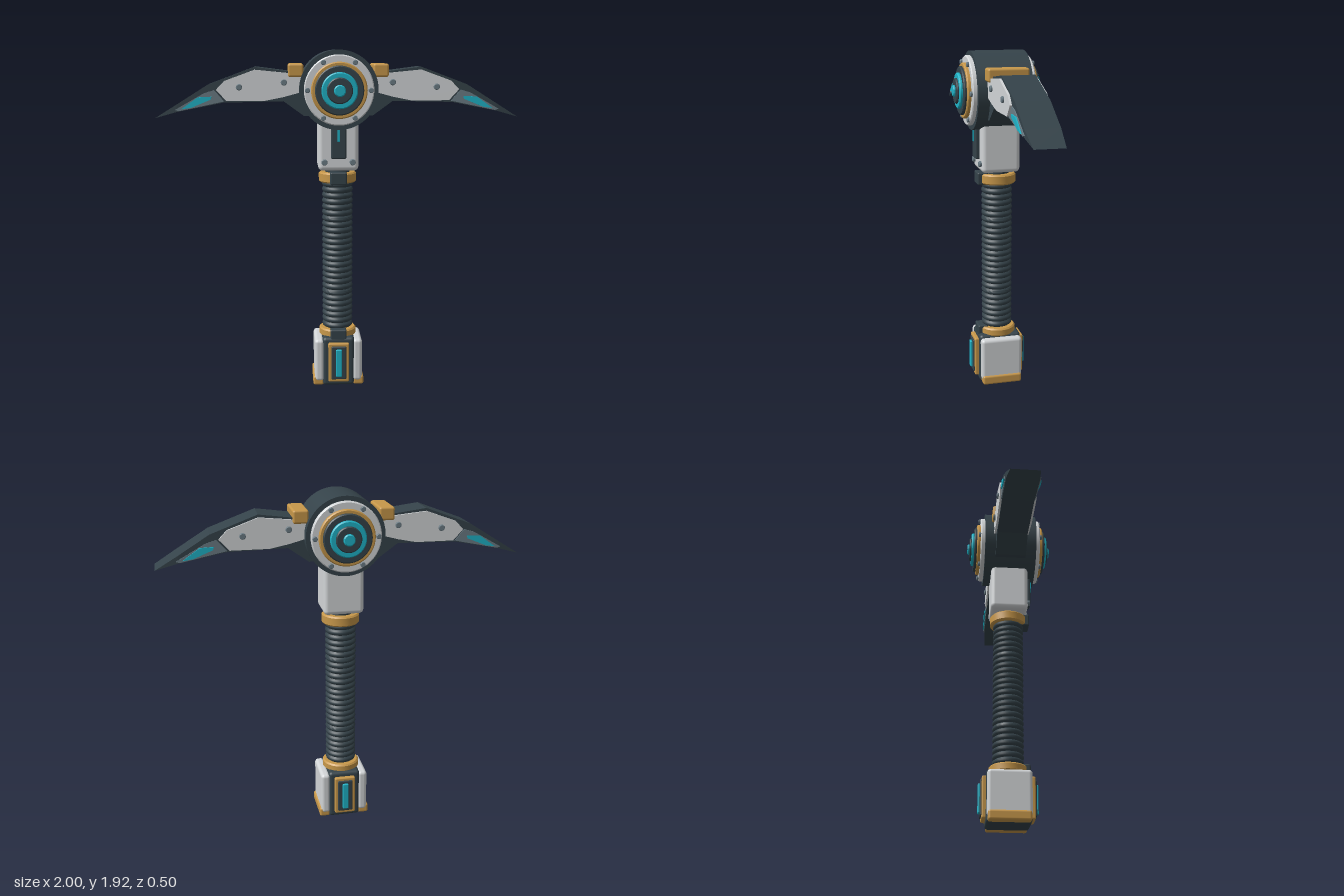
import * as THREE from 'three';
import { RoundedBoxGeometry } from 'three/addons/geometries/RoundedBoxGeometry.js';
import { toCreasedNormals } from 'three/addons/utils/BufferGeometryUtils.js';

const paint = (name, color) => {
  const m = new THREE.MeshStandardMaterial({ color });
  m.name = name;
  return m;
};

export function createModel() {
  const dark = paint('dark slate', 0x35434a);
  const white = paint('pale grey', 0xd3d6d8);
  const gold = paint('brass', 0xc8984a);
  const cyan = paint('cyan glow', 0x1fb4c8);
  const steel = paint('steel', 0x6b7c85);
  const model = new THREE.Group();
  model.name = 'pickaxe';

  const add = (name, geo, mat, x = 0, y = 0, z = 0) => {
    const m = new THREE.Mesh(geo, mat);
    m.name = name;
    m.position.set(x, y, z);
    model.add(m);
    return m;
  };
  // box from its limits, rounded by r
  const box = (name, mat, x0, x1, y0, y1, z0, z1, r = 0.01) =>
    add(name, new RoundedBoxGeometry(x1 - x0, y1 - y0, z1 - z0, 3, r), mat,
      (x0 + x1) / 2, (y0 + y1) / 2, (z0 + z1) / 2);
  // disc facing front or back, between two depths
  const disc = (name, mat, r, x, y, z0, z1, seg = 48) => {
    const h = Math.abs(z1 - z0);
    const c = Math.min(0.006, r * 0.2, h * 0.4);
    const pts = [[0, -h / 2], [r, -h / 2], [r, h / 2 - c], [r - c, h / 2], [0, h / 2]];
    const geo = toCreasedNormals(new THREE.LatheGeometry(pts.map(p => new THREE.Vector2(...p)), seg), 0.5);
    geo.rotateX(z1 > z0 ? Math.PI / 2 : -Math.PI / 2);
    return add(name, geo, mat, x, y, (z0 + z1) / 2);
  };
  // flat outline extruded between two depths, s mirrors it in x
  const slab = (name, mat, pts, s, z0, z1) => {
    const shape = new THREE.Shape(pts.map(([x, y]) => new THREE.Vector2(x * s, y)));
    const geo = new THREE.ExtrudeGeometry(shape, { depth: z1 - z0, bevelEnabled: false });
    geo.translate(0, 0, z0);
    return add(name, geo, mat);
  };
  const lathe = (name, mat, pts, crease = 0.6) =>
    add(name, toCreasedNormals(new THREE.LatheGeometry(pts.map(p => new THREE.Vector2(...p)), 40), crease), mat);

  // Hub drum with stacked discs on both faces
  const hubY = 1.707;
  const drum = new THREE.CylinderGeometry(0.215, 0.215, 0.3, 64);
  drum.rotateX(Math.PI / 2);
  add('hubDrum', drum, dark, 0, hubY, 0);
  const stack = [
    ['hubPlate', white, 0.19, 0.175], ['hubBrassRing', gold, 0.152, 0.195],
    ['hubInnerDisc', dark, 0.132, 0.21], ['hubGlowRing', cyan, 0.098, 0.225],
    ['hubCap', dark, 0.07, 0.236], ['hubGlowCore', cyan, 0.032, 0.248],
  ];
  for (const f of [1, -1]) {
    let z = 0.145;
    for (const [name, mat, r, top] of stack) {
      disc(name, mat, r, 0, hubY, f * z, f * top);
      z = top - 0.004;
    }
    for (let i = 0; i < 6; i++) {
      const a = i * Math.PI / 3;
      disc('hubBolt', steel, 0.014, 0.171 * Math.cos(a), hubY + 0.171 * Math.sin(a), f * 0.17, f * 0.187, 16);
    }
  }

  // Curved pick arms
  const arm = [[0.1, 1.8], [0.27, 1.806], [0.455, 1.83], [0.71, 1.735], [0.88, 1.629], [0.88, 1.589],
    [0.63, 1.638], [0.3, 1.645], [0.19, 1.565], [0.1, 1.565]];
  const tip = [[0.88, 1.629], [1, 1.555], [0.88, 1.589]];
  const armPlate = [[0.18, 1.795], [0.27, 1.797], [0.455, 1.815], [0.62, 1.755], [0.665, 1.708],
    [0.61, 1.648], [0.4, 1.648], [0.3, 1.668], [0.18, 1.7]];
  const tipPlate = [[0.675, 1.706], [0.73, 1.69], [0.89, 1.6], [0.87, 1.593], [0.622, 1.645]];
  const tipGlow = [[0.69, 1.671], [0.765, 1.668], [0.855, 1.604], [0.8, 1.612], [0.695, 1.655]];
  for (const s of [1, -1]) {
    slab('pickArm', dark, arm, s, -0.088, 0.088);
    // the point narrows in depth
    const point = slab('pickTip', dark, tip, s, -0.088, 0.088);
    const p = point.geometry.attributes.position;
    for (let i = 0; i < p.count; i++) if (Math.abs(p.getX(i)) > 0.95) p.setZ(i, p.getZ(i) * 0.88);
    point.geometry.computeVertexNormals();
    for (const f of [1, -1]) {
      const layer = (name, mat, pts, top) =>
        slab(name, mat, pts, s, Math.min(f * 0.08, f * top), Math.max(f * 0.08, f * top));
      layer('armPlate', white, armPlate, 0.1);
      layer('tipPlate', steel, tipPlate, 0.093);
      layer('tipGlow', cyan, tipGlow, 0.1);
      for (const [x, y] of [[0.54, 1.722], [0.297, 1.747]])
        disc('armRivet', steel, 0.017, s * x, y, f * 0.095, f * 0.111, 20);
    }
    const lo = s > 0 ? 0.19 : -0.275;
    box('armClamp', gold, lo, lo + 0.085, 1.775, 1.847, -0.112, 0.112, 0.012);
  }

  // Neck block under the hub
  box('neckBlock', white, -0.112, 0.112, 1.26, 1.6, -0.108, 0.108, 0.025);
  box('neckInset', dark, -0.042, 0.042, 1.33, 1.54, 0.09, 0.13, 0.008);
  box('neckGlow', cyan, -0.007, 0.007, 1.425, 1.53, 0.125, 0.138, 0.003);
  for (const s of [1, -1]) disc('neckRivet', steel, 0.017, s * 0.078, 1.31, 0.1, 0.122, 20);

  // Ribbed grip
  const ribs = 26, y0 = 0.335, pitch = 0.86 / ribs;
  const grip = [[0.001, y0]];
  for (let i = 0; i < ribs; i++)
    for (const [r, t] of [[0.076, 0], [0.085, 0.2], [0.088, 0.5], [0.085, 0.8]]) grip.push([r, y0 + (i + t) * pitch]);
  grip.push([0.076, y0 + 0.86]);
  lathe('grip', dark, grip, 0.7);
  lathe('gripNeck', dark, [[0.07, 1.18], [0.07, 1.28]]);

  // Brass collars with front clips
  for (const [a, b] of [[1.187, 1.245], [0.285, 0.332]]) {
    lathe('collar', gold, [[0.06, a], [0.098, a], [0.106, a + 0.008], [0.106, b - 0.008], [0.098, b], [0.06, b]]);
    box('collarClip', dark, -0.046, 0.046, a - 0.005, b + 0.008, 0.06, 0.12, 0.008);
  }

  // Pommel
  box('pommelCore', dark, -0.092, 0.092, 0.005, 0.295, -0.122, 0.122, 0.02);
  for (const s of [1, -1]) {
    const side = (name, mat, a, b, ...rest) => box(name, mat, s > 0 ? a : -b, s > 0 ? b : -a, ...rest);
    side('pommelSide', white, 0.083, 0.137, 0.03, 0.282, -0.12, 0.12, 0.02);
    side('pommelFoot', gold, 0.085, 0.146, 0.006, 0.06, -0.114, 0.114, 0.012);
  }
  for (const f of [1, -1]) {
    const layer = (name, mat, w, a, b, top, r) =>
      box(name, mat, -w, w, a, b, f > 0 ? 0.1 : -top, f > 0 ? top : -0.1, r);
    layer('pommelFrame', gold, 0.06, 0.035, 0.267, 0.144, 0.008);
    layer('pommelPanel', dark, 0.043, 0.053, 0.25, 0.152, 0.006);
    layer('pommelGlow', cyan, 0.017, 0.072, 0.234, 0.163, 0.005);
  }
  return model;
}
